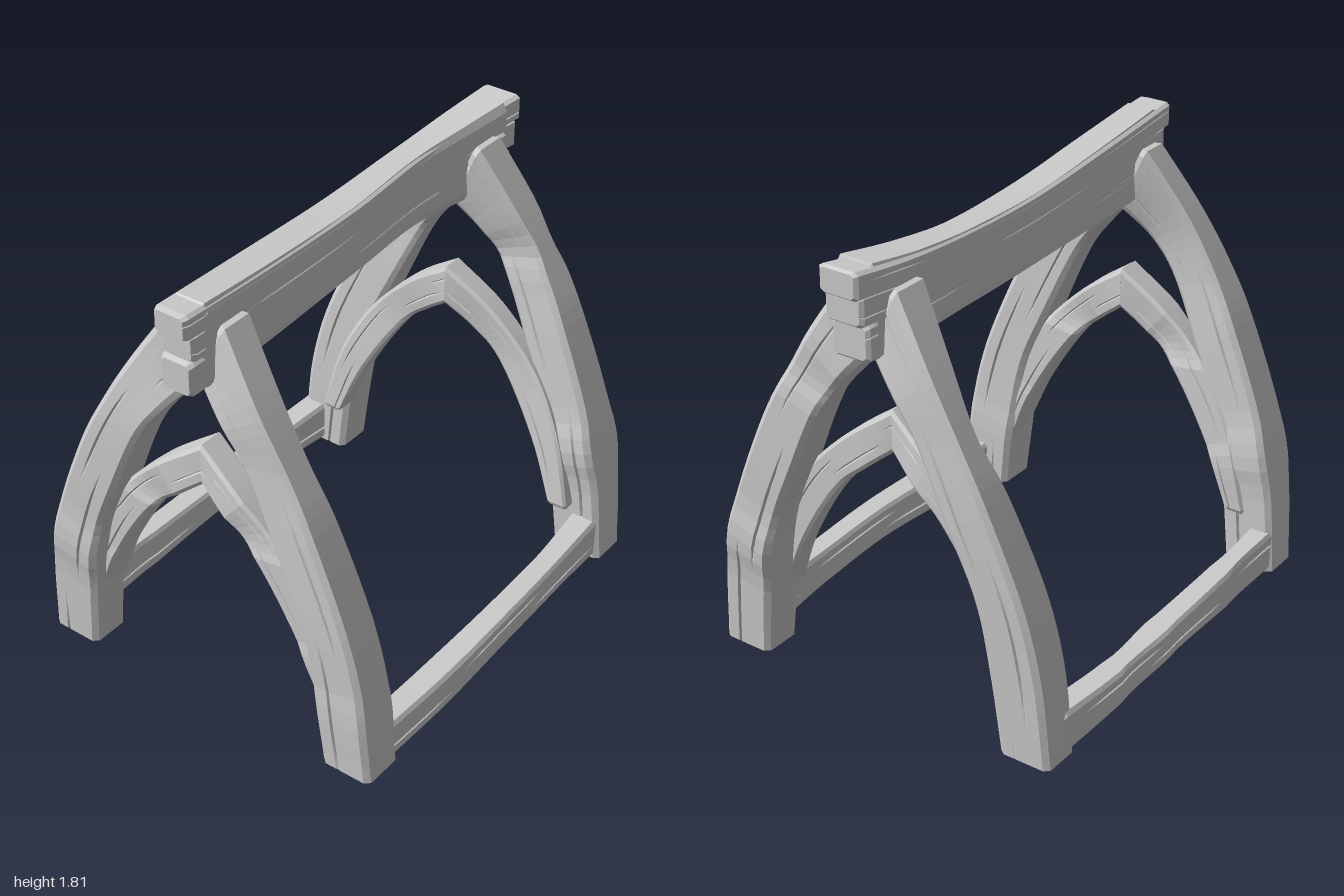
import * as THREE from 'three';

const V = (x, y, z) => new THREE.Vector3(x, y, z);
const wood = new THREE.MeshStandardMaterial({ color: 0xcccccc, flatShading: true });

// Chamfered cross-section in -1..1, with two carved grooves on each U side.
function section(t, groove, seed) {
  const c = 0.2, w = 0.06;
  const side = (s, k) => {
    const pts = [[s, -s * (1 - c)]];
    [-0.35, 0.3].forEach((v, i) => {
      const d = groove * Math.max(0, Math.sin(t * 9 + seed * 2.3 + k * 1.7 + i * 2.6));
      pts.push([s, s * (v - w)], [s * (1 - d), s * v], [s, s * (v + w)]);
    });
    pts.push([s, s * (1 - c)]);
    return pts;
  };
  return [...side(1, 0), [1 - c, 1], [c - 1, 1], ...side(-1, 1), [c - 1, -1], [1 - c, -1]];
}

// Hewn beam lofted through stations { c: centre, u, v: half-size vectors }.
function beam(name, stations, { groove = 0.12, seed = 1, bevel = [0.02, 0.02], steps = 24 } = {}) {
  const [cs, us, vs] = ['c', 'u', 'v'].map(k => new THREE.CatmullRomCurve3(stations.map(s => s[k])));
  const length = cs.getLength();
  const rings = [];
  for (let i = 0; i <= steps; i++) rings.push([i / steps, 1]);
  if (bevel[0]) rings.splice(0, 1, [0, 0.84], [bevel[0] / length, 1]);
  if (bevel[1]) rings.splice(-1, 1, [1 - bevel[1] / length, 1], [1, 0.84]);

  const pos = [], index = [];
  const put = p => pos.push(p.x, p.y, p.z);
  let n = 0;
  for (const [t, k] of rings) {
    const c = cs.getPoint(t), u = us.getPoint(t), v = vs.getPoint(t);
    const pts = section(t, groove, seed);
    n = pts.length;
    for (const [a, b] of pts) put(c.clone().addScaledVector(u, a * k).addScaledVector(v, b * k));
  }
  const last = rings.length - 1, capA = rings.length * n, capB = capA + 1;
  put(cs.getPoint(0));
  put(cs.getPoint(1));
  const s0 = stations[0];
  const flip = s0.u.clone().cross(s0.v).dot(stations[1].c.clone().sub(s0.c)) < 0;
  const tri = (a, b, c) => (flip ? index.push(a, c, b) : index.push(a, b, c));
  for (let j = 0; j < n; j++) {
    const k = (j + 1) % n;
    for (let i = 0; i < last; i++) {
      const a = i * n + j, b = i * n + k;
      tri(a, b, b + n);
      tri(a, b + n, a + n);
    }
    tri(capA, k, j);
    tri(capB, last * n + j, last * n + k);
  }
  const g = new THREE.BufferGeometry();
  g.setAttribute('position', new THREE.Float32BufferAttribute(pos, 3));
  g.setIndex(index);
  g.computeVertexNormals();
  const mesh = new THREE.Mesh(g, wood);
  mesh.name = name;
  return mesh;
}

// Station in an upright frame: outer and inner edge points (z, y), and x limits.
const frameStation = ([zo, yo, zi, yi], [x0, x1], s = 1, dz = 0) => ({
  c: V((x0 + x1) / 2, (yo + yi) / 2, s * (zo + zi) / 2 + dz),
  u: V((x1 - x0) / 2, 0, 0),
  v: V(0, (yo - yi) / 2, s * (zo - zi) / 2),
});

// Station on a beam along x: limits of z and y.
const railStation = ([x, z0, z1, y0, y1]) => ({
  c: V(x, (y0 + y1) / 2, (z0 + z1) / 2),
  u: V(0, 0, (z1 - z0) / 2),
  v: V(0, (y1 - y0) / 2, 0),
});

export function createModel() {
  const model = new THREE.Group();

  // Curved legs, leaning together under the ridge
  const legPath = [
    [0.77, 0, 0.555, 0], [0.735, 0.38, 0.515, 0.34], [0.665, 0.67, 0.465, 0.61], [0.52, 1.02, 0.36, 0.87],
    [0.41, 1.23, 0.22, 1.18], [0.29, 1.44, 0.12, 1.32], [0.11, 1.725, 0, 1.45],
  ];
  const legs = [
    ['frontLegNegX', 1, 0, [[-0.885, -0.7], [-0.89, -0.705], [-0.895, -0.715], [-0.89, -0.725], [-0.88, -0.74], [-0.885, -0.73], [-0.85, -0.69]]],
    ['frontLegPosX', 1, -0.02, [[0.71, 0.88], [0.7, 0.895], [0.705, 0.9], [0.725, 0.905], [0.745, 0.905], [0.73, 0.89], [0.68, 0.845]]],
    ['backLegNegX', -1, 0.015, [[-0.905, -0.735], [-0.925, -0.74], [-0.935, -0.75], [-0.945, -0.765], [-0.94, -0.785], [-0.91, -0.775], [-0.84, -0.71]]],
    ['backLegPosX', -1, 0, [[0.7, 0.87], [0.705, 0.885], [0.72, 0.895], [0.75, 0.905], [0.785, 0.9], [0.75, 0.895], [0.68, 0.86]]],
  ];
  legs.forEach(([name, s, dz, xs], i) => model.add(
    beam(name, legPath.map((p, k) => frameStation(p, xs[k], s, dz)), { seed: i + 1, bevel: [0.008, 0.025], steps: 28 })));

  // Pointed arch braces, two mitred halves on each side
  const bracePath = [
    [0.62, 0.24, 0.53, 0.24], [0.54, 0.55, 0.42, 0.5], [0.39, 0.82, 0.23, 0.8], [0.2, 1.02, 0.11, 0.91], [0, 1.17, 0, 1],
  ];
  const braces = [
    ['archBracePosX', [[0.645, 0.755], [0.67, 0.765], [0.695, 0.775], [0.68, 0.775], [0.64, 0.745]]],
    ['archBraceNegX', [[-0.85, -0.725], [-0.86, -0.735], [-0.865, -0.75], [-0.87, -0.755], [-0.85, -0.73]]],
  ];
  braces.forEach(([name, xs], i) => {
    const arch = new THREE.Group();
    arch.name = name;
    for (const s of [1, -1]) {
      arch.add(beam(s > 0 ? 'frontHalf' : 'backHalf', bracePath.map((p, k) => frameStation(p, xs[k], s)),
        { groove: 0.18, seed: 5 + i * 2 + s, bevel: [0.015, 0] }));
    }
    model.add(arch);
  });

  // Ground rails between the feet
  model.add(beam('frontRail', [
    [-0.76, 0.645, 0.755, 0.015, 0.18], [-0.4, 0.65, 0.765, 0.025, 0.18], [0, 0.655, 0.76, 0.045, 0.19],
    [0.4, 0.64, 0.74, 0.035, 0.185], [0.76, 0.605, 0.725, 0.015, 0.2],
  ].map(railStation), { seed: 3, groove: 0.2 }));
  model.add(beam('backRail', [
    [-0.8, -0.74, -0.64, 0.015, 0.19], [-0.4, -0.755, -0.655, 0.025, 0.185], [0, -0.765, -0.66, 0.04, 0.18],
    [0.4, -0.775, -0.67, 0.03, 0.18], [0.76, -0.765, -0.65, 0.015, 0.195],
  ].map(railStation), { seed: 8, groove: 0.2 }));

  // Ridge: a sagging core with split layers that end at different lengths
  const ridge = new THREE.Group();
  ridge.name = 'ridge';
  const ridgePath = [
    [-1, -0.05, 0.098, 1.475, 1.812], [-0.5, -0.075, 0.08, 1.475, 1.78], [0, -0.096, 0.053, 1.478, 1.755],
    [0.45, -0.105, 0.027, 1.478, 1.765], [0.75, -0.1, 0.055, 1.465, 1.785], [1, -0.08, 0.092, 1.45, 1.812],
  ];
  const layers = [
    ['core', 0.91, 0.91, 0, 1, 1],
    ['topLayer', 1, 1, 0.7, 0.998, 0.98],
    ['middleLayer', 0.965, 0.975, 0.4, 0.74, 0.97],
    ['bottomLayer', 0.98, 0.945, 0.002, 0.42, 0.96],
  ];
  layers.forEach(([name, left, right, f0, f1, k], i) => {
    const stations = ridgePath.map(([x, z0, z1, y0, y1]) => {
      const m = (z0 + z1) / 2, h = k * (z1 - z0) / 2, dy = y1 - y0;
      return railStation([x * (x < 0 ? left : right), m - h, m + h, y0 + dy * f0, y0 + dy * f1]);
    });
    ridge.add(beam(name, stations, { seed: i + 4, groove: i ? 0.05 : 0.14, steps: 30 }));
  });
  model.add(ridge);

  return model;
}
